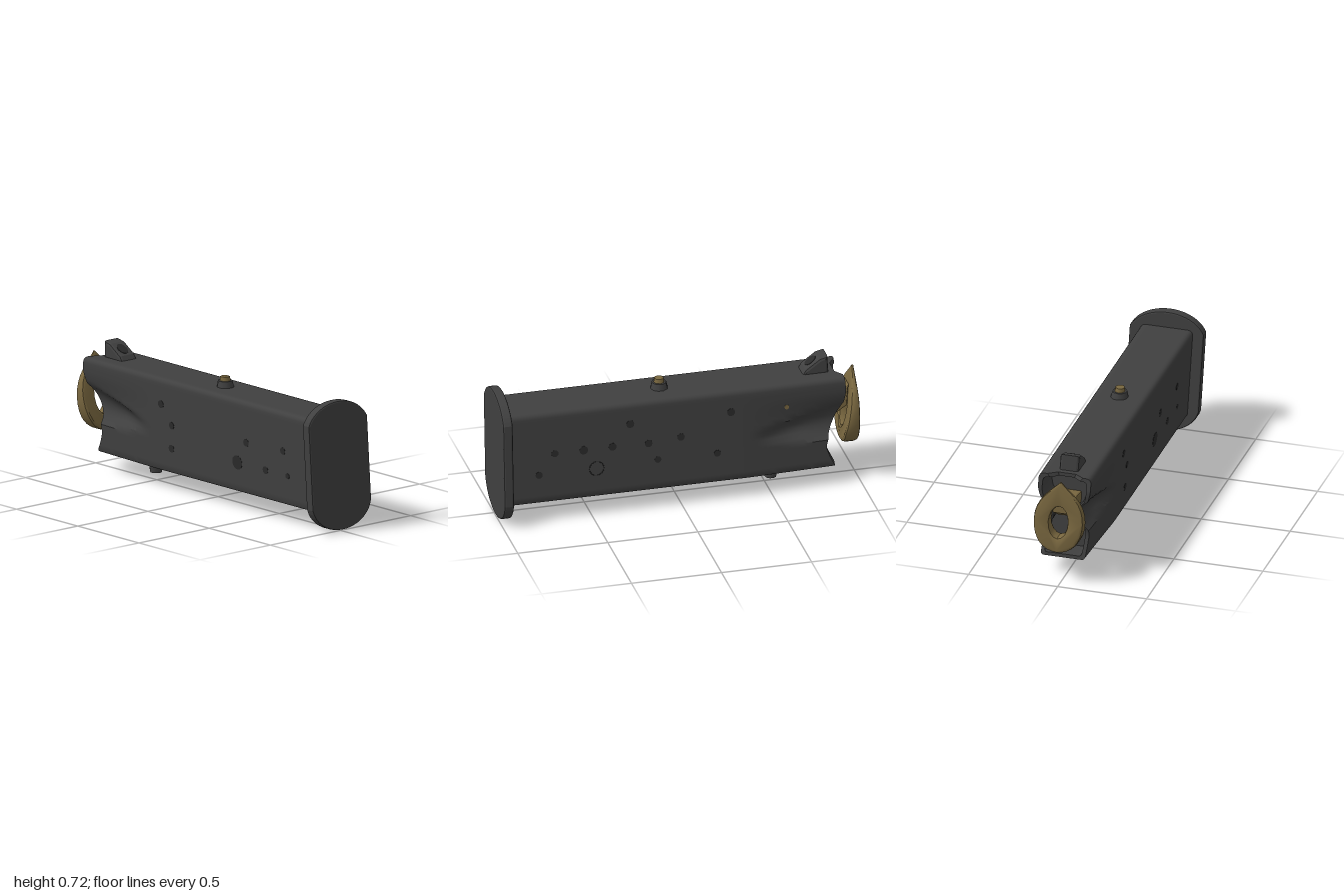
import * as THREE from 'three';
import { mergeVertices, toCreasedNormals } from 'three/addons/utils/BufferGeometryUtils.js';

const steel = new THREE.MeshStandardMaterial({ color: 0x404040 });
steel.name = 'dark steel';
const brass = new THREE.MeshStandardMaterial({ color: 0x7a6840 });
brass.name = 'aged brass';
const shade = new THREE.MeshStandardMaterial({ color: 0x2b2b2b });
shade.name = 'hole grey';

// The whole model leans slightly: x shifts with height.
const LEAN = new THREE.Matrix4().set(1, -0.062, 0, 0.0223, 0, 1, 0, 0, 0, 0, 1, 0, 0, 0, 0, 1);
const { clamp, lerp, smoothstep } = THREE.MathUtils;

// Height against z of the scooped rear edge
const REAR = [[0.11, -0.86], [0.17, -0.83], [0.23, -0.81], [0.3, -0.83], [0.38, -0.87], [0.44, -0.9], [0.55, -0.92], [0.63, -0.915]];
function rearEdge(x, y) {
  let i = 0;
  while (i < REAR.length - 2 && y > REAR[i + 1][0]) i++;
  const [y0, z0] = REAR[i], [y1, z1] = REAR[i + 1];
  const z = lerp(z0, z1, clamp((y - y0) / (y1 - y0), 0, 1));
  return y > 0.62 && Math.abs(x) < 0.1 ? -0.88 : z;
}

// Rounded rectangular cross-section, counterclockwise from bottom centre
function bodySection() {
  const W = 0.147, B = 0.11, T = 0.63, half = [[0, B], [0.05, B], [0.1, B]];
  const corner = (cx, cy, r, from) => {
    for (let k = 0; k <= 4; k++) {
      const a = from + (k / 4) * Math.PI / 2;
      half.push([cx + r * Math.cos(a), cy + r * Math.sin(a)]);
    }
  };
  corner(W - 0.018, B + 0.018, 0.018, -Math.PI / 2);
  for (let k = 1; k < 20; k++) half.push([W, lerp(B + 0.018, T - 0.028, k / 20)]);
  corner(W - 0.028, T - 0.028, 0.028, 0);
  half.push([0.1, T], [0.05, T], [0, T]);
  return [...half, ...half.slice(1, -1).reverse().map(([x, y]) => [-x, y])];
}

// Long tube with tapered side scoops and a recessed open rear
function bodyGeometry() {
  const section = bodySection(), n = section.length, pos = [], index = [], ROWS = 18;
  const place = (x, y, z) => {
    const t = clamp((-0.38 - z) / 0.5, 0, 1);
    const d = (y - lerp(0.33, 0.375, t)) / lerp(0.025, 0.11, t);
    const scoop = 0.05 * smoothstep(t, 0, 0.6) * Math.max(0, 1 - d * d);
    const taper = 0.024 * t * (1 - smoothstep(y, 0.42, 0.56));
    return x * (1 - (scoop + taper) / 0.147);
  };
  for (let r = 0; r <= ROWS; r++) for (const [x, y] of section) {
    const z = r === 0 ? 0.95 : lerp(-0.34, rearEdge(x, y), (r - 1) / (ROWS - 1));
    pos.push(place(x, y, z), y, z);
  }
  for (const deep of [false, true]) for (const [x, y] of section) {
    const edge = rearEdge(x, y);
    pos.push(place(x, y, edge) * 0.84, 0.37 + (y - 0.37) * 0.92, deep ? -0.74 : edge);
  }
  for (let r = 0; r < ROWS + 2; r++) for (let j = 0; j < n; j++) {
    const a = r * n + j, b = r * n + (j + 1) % n;
    index.push(a, a + n, b, b, a + n, b + n);
  }
  const last = (ROWS + 2) * n, mid = pos.length / 3;
  pos.push(0, 0.37, -0.74);
  for (let j = 0; j < n; j++) index.push(last + j, mid, last + (j + 1) % n);
  const g = new THREE.BufferGeometry();
  g.setAttribute('position', new THREE.Float32BufferAttribute(pos, 3));
  g.setIndex(index);
  return toCreasedNormals(g, 0.6);
}

// Floor plate: straight sides with shallow arched ends
function plateGeometry() {
  const s = new THREE.Shape();
  s.moveTo(-0.209, 0.14);
  s.bezierCurveTo(-0.19, 0.05, -0.09, 0.003, 0, 0.003);
  s.bezierCurveTo(0.09, 0.003, 0.19, 0.05, 0.209, 0.14);
  s.lineTo(0.209, 0.61);
  s.bezierCurveTo(0.175, 0.68, 0.09, 0.721, 0, 0.721);
  s.bezierCurveTo(-0.09, 0.721, -0.175, 0.68, -0.209, 0.61);
  const g = new THREE.ExtrudeGeometry(s, { depth: 0.034, bevelThickness: 0.01, bevelSize: 0.008, bevelOffset: -0.008, bevelSegments: 2, curveSegments: 10 });
  return g.translate(0, 0, 0.956);
}

// Teardrop ring, thick at the bottom and thin at the pointed top
function ringGeometry() {
  const s = new THREE.Shape();
  s.moveTo(0, 0.63);
  s.bezierCurveTo(-0.05, 0.57, -0.14, 0.52, -0.14, 0.385);
  s.bezierCurveTo(-0.14, 0.27, -0.08, 0.2, 0, 0.2);
  s.bezierCurveTo(0.08, 0.2, 0.14, 0.27, 0.14, 0.385);
  s.bezierCurveTo(0.14, 0.52, 0.05, 0.57, 0, 0.63);
  s.holes.push(new THREE.Path().absellipse(0, 0.385, 0.052, 0.095, 0, Math.PI * 2, true));
  let g = new THREE.ExtrudeGeometry(s, { depth: 0.5, bevelThickness: 0.25, bevelSize: 0.014, bevelOffset: -0.014, bevelSegments: 2, curveSegments: 8 });
  const p = g.attributes.position;
  for (let i = 0; i < p.count; i++) {
    const thick = clamp(0.09 - 0.2 * (p.getY(i) - 0.25), 0.014, 0.085);
    p.setZ(i, -1 + (p.getZ(i) + 0.25) * thick);
  }
  g.deleteAttribute('normal');
  g.deleteAttribute('uv');
  return toCreasedNormals(mergeVertices(g), 0.6);
}

// Extrudes a side outline, given as [z, y] points, across x
function sideExtrude(points, width, bevel) {
  const s = new THREE.Shape(points.map(([z, y]) => new THREE.Vector2(-z, y)));
  const depth = width - 2 * bevel;
  return new THREE.ExtrudeGeometry(s, { depth, bevelThickness: bevel, bevelSize: bevel, bevelOffset: -bevel, bevelSegments: 2 })
    .translate(0, 0, -depth / 2).rotateY(Math.PI / 2);
}

export function createModel() {
  const model = new THREE.Group();
  const add = (name, geometry, material) => {
    const mesh = new THREE.Mesh(geometry.applyMatrix4(LEAN), material);
    mesh.name = name;
    model.add(mesh);
  };
  const post = (rTop, rBottom, y0, y1, z, sides = 10) =>
    new THREE.CylinderGeometry(rTop, rBottom, y1 - y0, sides).translate(0, (y0 + y1) / 2, z);

  add('body', bodyGeometry(), steel);
  add('floorPlate', plateGeometry(), steel);

  // Rear ring and its slanted arm
  add('rearRing', ringGeometry(), brass);
  add('ringArm', sideExtrude([[-0.96, 0.54], [-0.95, 0.42], [-0.87, 0.37], [-0.73, 0.39], [-0.73, 0.46], [-0.88, 0.48]], 0.1, 0.01), brass);

  // Small posts above and below
  add('topCollar', post(0.04, 0.05, 0.62, 0.665, 0.08), steel);
  add('topPin', post(0.026, 0.03, 0.66, 0.688, 0.08, 8), brass);
  add('bottomPost', post(0.042, 0.032, 0.038, 0.12, -0.53), steel);

  // Wedge catch on top, with a dark hollow on its slope
  add('topCatch', sideExtrude([[-0.7, 0.62], [-0.72, 0.655], [-0.8, 0.71], [-0.845, 0.72], [-0.85, 0.62]], 0.11, 0.015), steel);
  add('catchHollow', new THREE.CylinderGeometry(0.03, 0.03, 0.006, 12).scale(1, 1, 1.2)
    .rotateX(0.602).translate(0, 0.682, -0.76), shade);

  // Round holes on both sides: [z, y, radius]
  const holes = {
    right: [[0.79, 0.275, 0.02], [0.7, 0.39, 0.02], [0.54, 0.39, 0.024], [0.38, 0.39, 0.022], [0.28, 0.51, 0.022], [0.18, 0.385, 0.021],
      [0, 0.4, 0.021], [0.13, 0.285, 0.019], [-0.2, 0.28, 0.019], [-0.28, 0.51, 0.022]],
    left: [[0.7, 0.41, 0.02], [0.73, 0.275, 0.016], [0.55, 0.275, 0.022], [0.4, 0.4, 0.022], [0.32, 0.275, 0.04],
      [-0.29, 0.485, 0.022], [-0.21, 0.38, 0.02], [-0.22, 0.25, 0.022]],
  };
  const disc = (x, z, y, r) => new THREE.CylinderGeometry(r, r, 0.005, 12).rotateZ(Math.PI / 2).translate(x, y, z);
  for (const [side, list] of Object.entries(holes)) {
    for (const [z, y, r] of list) add(side + 'SideHole', disc(side === 'right' ? 0.146 : -0.146, z, y, r), shade);
  }
  add('sideRivet', disc(0.143, -0.59, 0.5, 0.013), brass);

  // Faint dent outline on the right side
  add('sideDent', new THREE.TorusGeometry(0.04, 0.002, 4, 16).rotateY(Math.PI / 2).translate(0.147, 0.275, 0.47), shade);

  return model;
}
